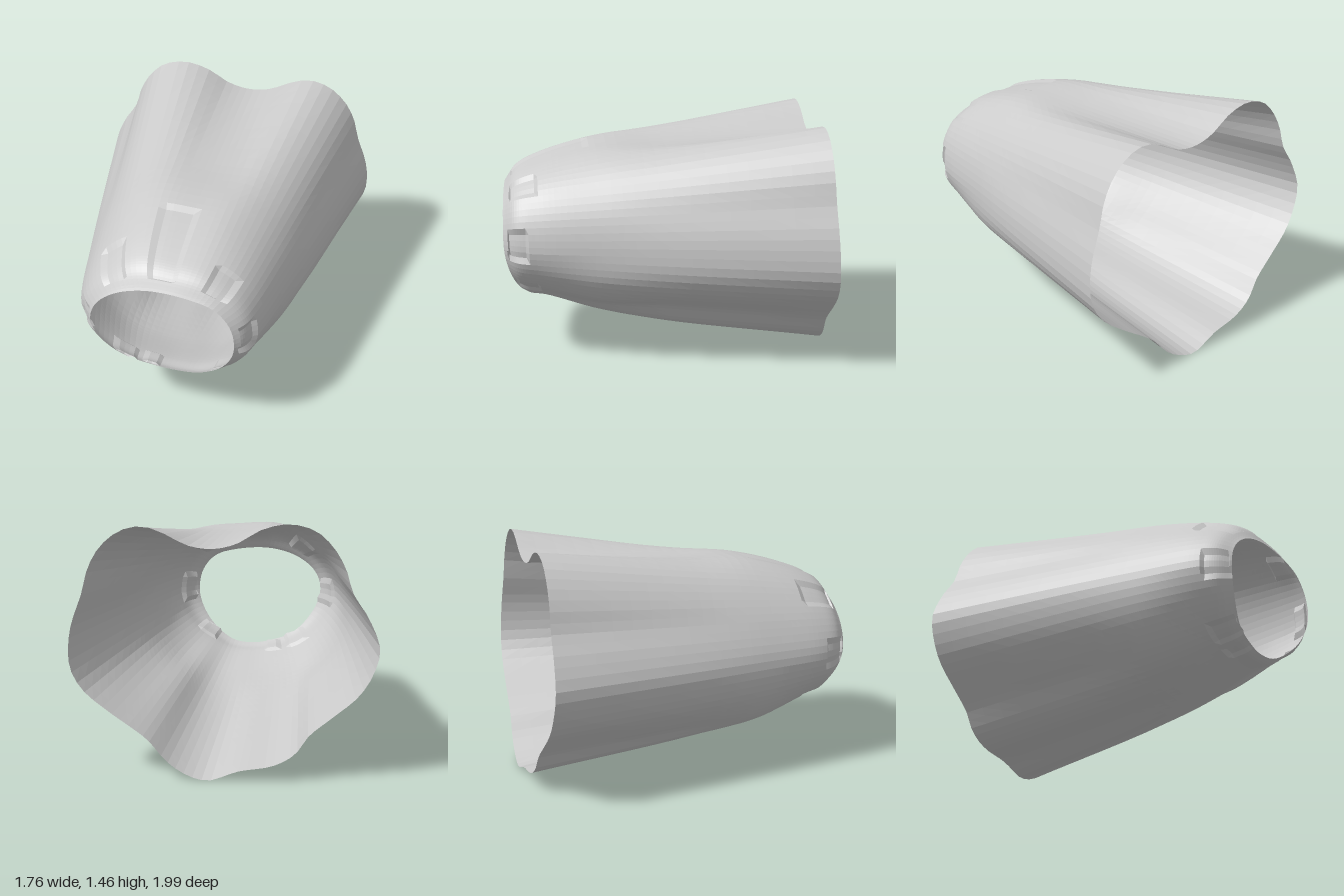
import * as THREE from 'three';

const CY = 0.73; // height of the sleeve axis
const SEGS = 84, ROWS_PER_SPAN = [7, 8, 10, 6, 8];

// Outlines (x, y), counter-clockwise seen from the front
const mouth = [[0.40, 0.75], [0.37, 0.88], [0.28, 0.98], [0.1, 1.03], [-0.12, 1.035], [-0.3, 0.98], [-0.42, 0.88],
  [-0.46, 0.76], [-0.42, 0.62], [-0.28, 0.46], [-0.1, 0.395], [0.02, 0.38], [0.15, 0.40], [0.3, 0.51], [0.38, 0.64]];
const shoulder = [[0.60, 0.75], [0.565, 0.94], [0.485, 1.09], [0.385, 1.19], [0.25, 1.262], [0.05, 1.285],
  [-0.2, 1.29], [-0.365, 1.22], [-0.49, 1.10], [-0.58, 0.96], [-0.645, 0.78], [-0.62, 0.6], [-0.5, 0.42],
  [-0.36, 0.31], [-0.2, 0.265], [0.02, 0.25], [0.2, 0.27], [0.32, 0.35], [0.45, 0.42], [0.57, 0.56]];
const rim = [[0.88, 0.75], [0.86, 0.88], [0.80, 1.05], [0.76, 1.2], [0.69, 1.32], [0.58, 1.41], [0.45, 1.44],
  [0.32, 1.40], [0.2, 1.34], [0.06, 1.32], [-0.08, 1.35], [-0.22, 1.43], [-0.37, 1.465], [-0.52, 1.43],
  [-0.62, 1.34], [-0.69, 1.22], [-0.73, 1.09], [-0.82, 0.95], [-0.885, 0.78], [-0.86, 0.66], [-0.78, 0.52],
  [-0.62, 0.38], [-0.5, 0.28], [-0.42, 0.17], [-0.3, 0.1], [-0.1, 0.06], [0.08, 0.0], [0.2, 0.03],
  [0.31, 0.1], [0.42, 0.22], [0.5, 0.28], [0.65, 0.38], [0.80, 0.5], [0.87, 0.62]];

// Radius of an outline as a function of angle about the axis
function polar(points) {
  const curve = new THREE.CatmullRomCurve3(points.map(([x, y]) => new THREE.Vector3(x, y - CY, 0)), true);
  const turn = 2 * Math.PI;
  const samples = curve.getPoints(400).slice(0, -1)
    .map(p => ({ a: (Math.atan2(p.y, p.x) + turn) % turn, r: Math.hypot(p.x, p.y) }))
    .sort((p, q) => p.a - q.a);
  return angle => {
    let k = samples.findIndex(s => s.a >= angle);
    if (k < 0) k = 0;
    const q = samples[k], p = samples[(k + samples.length - 1) % samples.length];
    const gap = (q.a - p.a + turn) % turn || 1;
    return THREE.MathUtils.lerp(p.r, q.r, ((angle - p.a + turn) % turn) / gap);
  };
}

// Distance in degrees between an angle and a direction
const degreesFrom = (angle, centre) => Math.abs((THREE.MathUtils.radToDeg(angle) - centre + 540) % 360 - 180);

// Shallow pockets around the neck: centre angle, half width (degrees), z range, depth
const pockets = [[95, 12, 0.47, 0.94, 0.015], [50, 8, 0.78, 0.95, 0.02], [135, 9, 0.70, 0.93, 0.02],
  [3, 10, 0.85, 0.96, 0.025], [178, 9, 0.82, 0.95, 0.02], [226, 9, 0.74, 0.89, 0.015],
  [248, 6, 0.74, 0.86, 0.015], [318, 9, 0.78, 0.91, 0.015]];

function pocketDepth(angle, z) {
  const hit = pockets.find(([centre, half, z0, z1]) => degreesFrom(angle, centre) < half && z > z0 && z < z1);
  return hit ? hit[4] : 0;
}

// Folds that deepen the lower valleys at mid length
const foldDepth = angle =>
  0.022 * Math.exp(-((degreesFrom(angle, 318) / 13) ** 2)) + 0.012 * Math.exp(-((degreesFrom(angle, 224) / 13) ** 2));

function sleeveGeometry() {
  const rMouth = polar(mouth), rShoulder = polar(shoulder), rRim = polar(rim);
  const { lerp } = THREE.MathUtils;
  const droop = y => Math.max(0, 0.8 - y) ** 2;
  const columns = [];
  for (let j = 0; j < SEGS; j++) {
    const angle = j / SEGS * 2 * Math.PI, c = Math.cos(angle), s = Math.sin(angle);
    const blend = s < 0 ? 1 + 0.6 * s : 1; // the underside swells later
    const a = rMouth(angle), d = rShoulder(angle), e = rRim(angle);
    const at = (r, zOf) => new THREE.Vector3(c * r, CY + s * r, zOf(c * r, CY + s * r));
    // One lengthwise line: mouth, two neck rings, shoulder, middle, rim
    const path = new THREE.CatmullRomCurve3([
      at(a, (x, y) => 0.98 + 0.03 * x - 0.65 * droop(y)),
      at(lerp(a, d, 0.37 * blend), (x, y) => 0.91 + 0.03 * x - 0.45 * droop(y)),
      at(lerp(a, d, 0.62 * blend), (x, y) => 0.78 - 0.2 * droop(y)),
      at(d, () => 0.42),
      at(lerp(d, e, 0.33 - (s < 0 ? 0.08 : 0.04) * s) - foldDepth(angle), () => 0),
      at(e, (x, y) => -0.92 + 0.01 * x - 0.08 * (Math.max(0, 1.45 - y) / 1.45) ** 1.7),
    ]);
    const column = [];
    ROWS_PER_SPAN.forEach((n, span) => {
      for (let i = 0; i < n; i++) column.push(path.getPoint((span + i / n) / ROWS_PER_SPAN.length));
    });
    column.push(path.getPoint(1));
    for (const p of column) {
      const dent = pocketDepth(angle, p.z);
      p.x -= c * dent;
      p.y -= s * dent;
    }
    columns.push(column);
  }
  const rows = columns[0].length, positions = [], index = [];
  for (const column of columns) for (const p of column) positions.push(p.x, p.y, p.z);
  for (let j = 0; j < SEGS; j++) {
    const k = (j + 1) % SEGS;
    for (let i = 0; i < rows - 1; i++) {
      const p = j * rows + i, q = k * rows + i;
      index.push(p, p + 1, q, q, p + 1, q + 1);
    }
  }
  const geometry = new THREE.BufferGeometry();
  geometry.setAttribute('position', new THREE.Float32BufferAttribute(positions, 3));
  geometry.setIndex(index);
  geometry.computeVertexNormals();
  return geometry;
}

export function createModel() {
  const group = new THREE.Group();
  group.name = 'flaredSleeve';
  // Thin fabric shell, open at both ends
  const material = new THREE.MeshStandardMaterial({ color: 0xcccccc, flatShading: true, side: THREE.DoubleSide });
  const sleeve = new THREE.Mesh(sleeveGeometry(), material);
  sleeve.name = 'sleeve';
  group.add(sleeve);
  return group;
}
